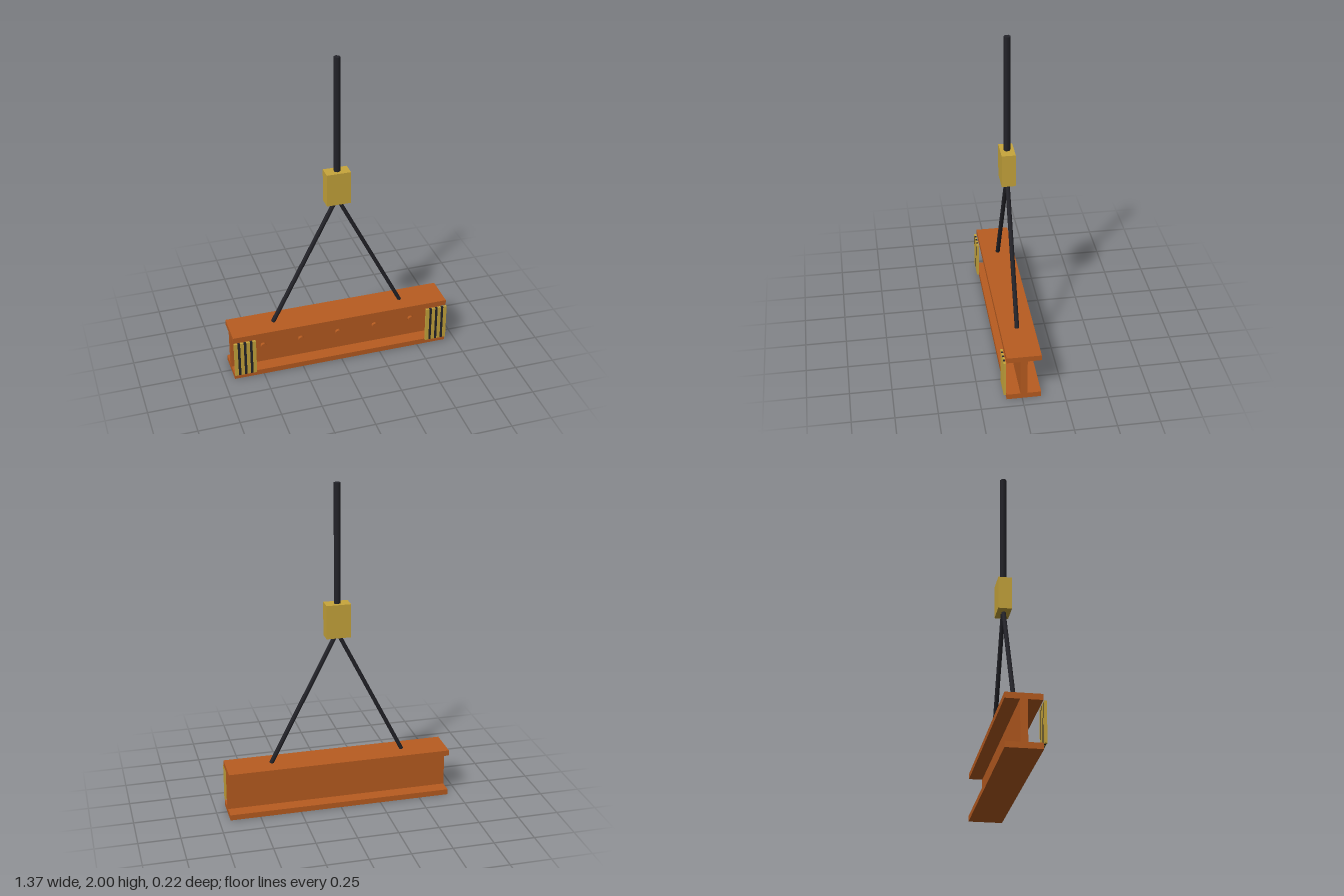
import * as THREE from 'three';

const material = (name, color) => {
  const m = new THREE.MeshStandardMaterial({ color });
  m.name = name;
  return m;
};

export function createModel() {
  const rust = material('rust orange steel', 0xb85c20);
  const gold = material('safety yellow', 0xc8a63c);
  const black = material('cable black', 0x24242a);
  const model = new THREE.Group();
  model.name = 'suspendedBeam';
  const Z = -0.01; // centre plane of the beam and cables

  const add = (parent, name, geometry, mat, x, y, z) => {
    const mesh = new THREE.Mesh(geometry, mat);
    mesh.name = name;
    mesh.position.set(x, y, z);
    parent.add(mesh);
    return mesh;
  };
  const box = (parent, name, mat, w, h, d, x, y, z) =>
    add(parent, name, new THREE.BoxGeometry(w, h, d), mat, x, y, z);

  // Straight cable between two points
  const cable = (name, a, b, radius) => {
    const dir = b.clone().sub(a);
    const mid = a.clone().add(b).multiplyScalar(0.5);
    const mesh = add(model, name, new THREE.CylinderGeometry(radius, radius, dir.length(), 6), black, mid.x, mid.y, mid.z);
    mesh.quaternion.setFromUnitVectors(new THREE.Vector3(0, 1, 0), dir.normalize());
  };

  // I-beam: two flanges and a web
  const beam = new THREE.Group();
  beam.name = 'beam';
  model.add(beam);
  box(beam, 'bottomFlange', rust, 1.368, 0.034, 0.205, 0, 0.017, Z);
  box(beam, 'topFlange', rust, 1.368, 0.034, 0.205, 0, 0.285, Z);
  box(beam, 'web', rust, 1.368, 0.234, 0.041, 0, 0.151, Z);

  // Row of bolts on the front of the web
  const boltGeometry = new THREE.CylinderGeometry(0.02, 0.02, 0.02, 8).rotateX(Math.PI / 2);
  for (let i = -2; i <= 2; i++) add(beam, 'bolt', boltGeometry, rust, i * 0.24, 0.153, 0.018);

  // Striped warning panels in front of each end
  for (const side of [-1, 1]) {
    const panel = new THREE.Group();
    panel.name = side > 0 ? 'leftWarningPanel' : 'rightWarningPanel';
    panel.position.set(side * 0.616, 0.151, 0.103);
    model.add(panel);
    for (let i = -3; i <= 3; i++) {
      const yellow = i % 2 !== 0;
      box(panel, yellow ? 'yellowStripe' : 'blackStripe', yellow ? gold : black,
        yellow ? 0.022 : 0.016, 0.232, yellow ? 0.014 : 0.012, i * 0.019, 0, 0);
    }
  }

  // Lifting block, hoist cable and sling legs
  box(model, 'liftingBlock', gold, 0.147, 0.205, 0.082, 0, 1.182, Z);
  cable('hoistCable', new THREE.Vector3(0, 1.27, Z), new THREE.Vector3(0, 2, Z), 0.02);
  for (const side of [-1, 1]) {
    cable(side > 0 ? 'leftSlingLeg' : 'rightSlingLeg',
      new THREE.Vector3(side * 0.409, 0.302, Z), new THREE.Vector3(0, 1.105, Z), 0.0135);
  }
  return model;
}
